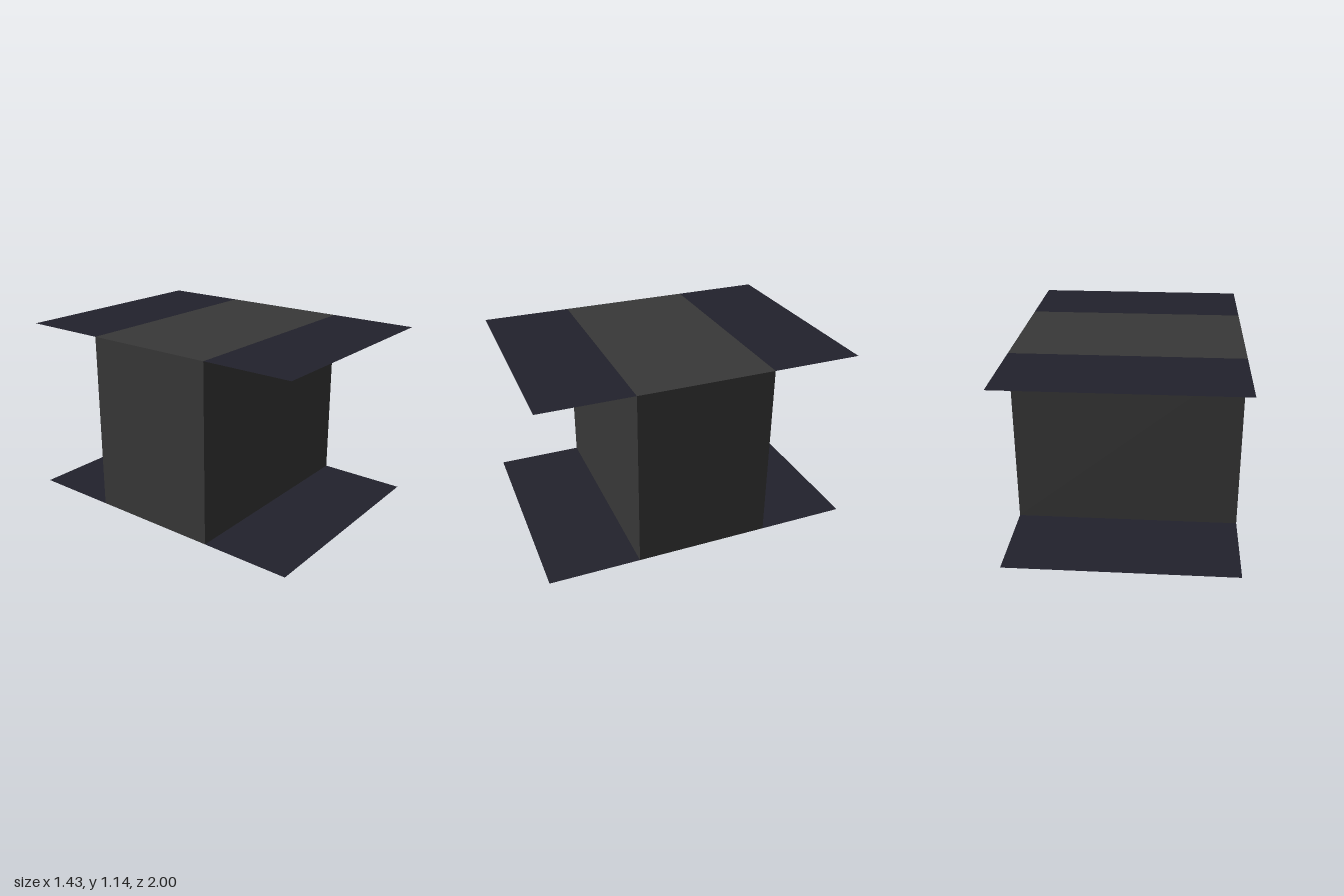
import * as THREE from 'three';

const WIDTH = 1.428, HEIGHT = 1.143, DEPTH = 0.857, PLATE_DEPTH = 2;

export function createModel() {
  const model = new THREE.Group();
  const bodyMaterial = new THREE.MeshStandardMaterial({ color: 0x383838 });
  const plateMaterial = new THREE.MeshStandardMaterial({ color: 0x22222c, side: THREE.DoubleSide });

  // Solid central block
  const body = new THREE.Mesh(new THREE.BoxGeometry(WIDTH, HEIGHT, DEPTH), bodyMaterial);
  body.name = 'body';
  body.position.y = HEIGHT / 2;
  model.add(body);

  // Paper-thin plates at top and bottom, overhanging front and back;
  // the block's own faces fill the middle so no surfaces coincide
  const overhang = (PLATE_DEPTH - DEPTH) / 2;
  const flapGeometry = new THREE.PlaneGeometry(WIDTH, overhang).rotateX(-Math.PI / 2);
  for (const [name, y] of [['bottomPlate', 0], ['topPlate', HEIGHT]]) {
    const plate = new THREE.Group();
    plate.name = name;
    plate.position.y = y;
    for (const side of [1, -1]) {
      const flap = new THREE.Mesh(flapGeometry, plateMaterial);
      flap.name = side > 0 ? 'frontOverhang' : 'backOverhang';
      flap.position.z = side * (DEPTH + overhang) / 2;
      plate.add(flap);
    }
    model.add(plate);
  }

  return model;
}
